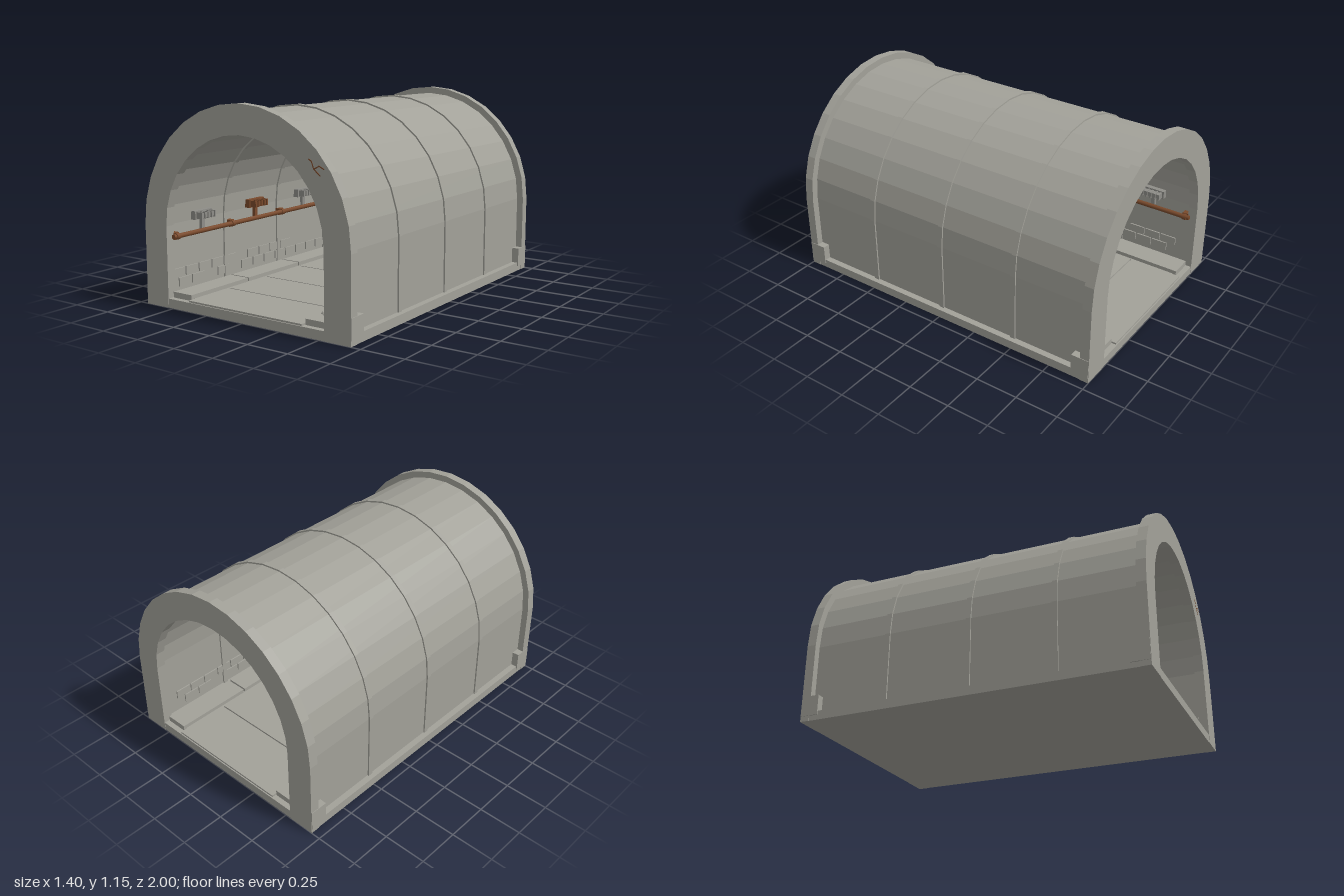
import * as THREE from 'three';

const SPRING = 0.46; // height where the straight walls become the arch
const SIDES = 16;

function createMaterials() {
  const make = (name, color) => {
    const m = new THREE.MeshStandardMaterial({ color });
    m.name = name;
    return m;
  };
  return {
    concrete: make('concrete', 0xa2a199),
    metal: make('lamp metal', 0x8e8d88),
    rust: make('rust', 0x7a4a2c),
  };
}

// Horseshoe outline between two radii, extruded along z
function archGeometry(outer, inner, yBase, z0, z1) {
  const pts = [new THREE.Vector2(outer, yBase)];
  const arc = (r, i) => {
    const a = (i / SIDES) * Math.PI;
    return new THREE.Vector2(Math.cos(a) * r, SPRING + Math.sin(a) * r);
  };
  for (let i = 0; i <= SIDES; i++) pts.push(arc(outer, i));
  pts.push(new THREE.Vector2(-outer, yBase), new THREE.Vector2(-inner, yBase));
  for (let i = SIDES; i >= 0; i--) pts.push(arc(inner, i));
  pts.push(new THREE.Vector2(inner, yBase));
  const g = new THREE.ExtrudeGeometry(new THREE.Shape(pts), { depth: z1 - z0, bevelEnabled: false });
  return g.translate(0, 0, z0);
}

function seeded(seed) {
  return () => (seed = (seed * 16807) % 2147483647) / 2147483647;
}

export function createModel() {
  const mat = createMaterials();
  const root = new THREE.Group();
  root.name = 'tunnelSection';
  const rand = seeded(41);

  const add = (name, geometry, material, parent = root) => {
    const mesh = new THREE.Mesh(geometry, material);
    mesh.name = name;
    parent.add(mesh);
    return mesh;
  };
  // Box given by its limits on each axis
  const box = (name, x0, x1, y0, y1, z0, z1, material = mat.concrete, parent = root) => {
    const mesh = add(name, new THREE.BoxGeometry(Math.abs(x1 - x0), y1 - y0, z1 - z0), material, parent);
    mesh.position.set((x0 + x1) / 2, (y0 + y1) / 2, (z0 + z1) / 2);
    return mesh;
  };
  const group = (name) => {
    const g = new THREE.Group();
    g.name = name;
    root.add(g);
    return g;
  };

  // Vault, end portals and ribs
  add('vault', archGeometry(0.655, 0.56, 0.03, -0.96, 0.96), mat.concrete);
  add('frontPortal', archGeometry(0.695, 0.533, 0, 0.945, 1), mat.concrete);
  add('backPortal', archGeometry(0.695, 0.533, 0, -1, -0.945), mat.concrete);
  for (const z of [-0.495, 0, 0.495]) {
    add('rib', archGeometry(0.664, 0.55, 0.03, z - 0.015, z + 0.015), mat.concrete);
  }

  // Base slab and floor panels with narrow joints
  box('baseSlab', -0.692, 0.692, 0, 0.052, -0.998, 0.998);
  const floor = group('floor');
  const panels = 6;
  for (let i = 0; i < panels; i++) {
    const z = -0.995 + (i * 1.99) / panels;
    box('floorPanel', -0.388, 0.388, 0.04, 0.062, z + 0.004, z + 1.99 / panels - 0.004, mat.concrete, floor);
  }

  // Walkways, wall bricks and corner footings on both sides
  for (const s of [-1, 1]) {
    const side = group(s > 0 ? 'leftSide' : 'rightSide');
    box('walkwayBed', s * 0.38, s * 0.56, 0.04, 0.062, -0.945, 0.945, mat.concrete, side);
    for (let i = 0; i < 4; i++) {
      const z = -0.97 + i * 0.485;
      box('walkwaySlab', s * 0.392, s * 0.527, 0.05, 0.085, z + 0.005, z + 0.48, mat.concrete, side);
    }
    for (let row = 0; row < 2; row++) {
      for (let i = 0; i < 17; i++) {
        const z = -0.92 + i * 0.107 + row * 0.05;
        if (rand() < 0.25) continue;
        const y = 0.095 + row * 0.056;
        box('wallBrick', s * 0.552, s * 0.561, y, y + 0.05, z, z + 0.098, mat.concrete, side);
      }
    }
    for (const e of [-1, 1]) {
      const z = e * 0.945;
      box('cornerFooting', s * 0.64, s * 0.698, 0.03, 0.145, z - 0.053, z + 0.053, mat.concrete, side);
    }
  }

  // Rusty pipe along the right wall with its clamps
  const pipework = group('pipework');
  const pipe = add('pipe', new THREE.CylinderGeometry(0.014, 0.014, 1.92, 8), mat.rust, pipework);
  pipe.rotation.x = Math.PI / 2;
  pipe.position.set(-0.521, 0.395, 0);
  for (const z of [-0.93, -0.47, 0, 0.47, 0.93]) {
    box('clampPlate', -0.562, -0.526, 0.375, 0.416, z - 0.018, z + 0.018, mat.rust, pipework);
    const ring = add('clampRing', new THREE.CylinderGeometry(0.019, 0.019, 0.024, 8), mat.rust, pipework);
    ring.rotation.x = Math.PI / 2;
    ring.position.set(-0.521, 0.395, z);
  }

  // Caged wall lamps above the pipe
  for (const z of [-0.71, -0.24, 0.24, 0.71]) {
    const lamp = group('wallLamp');
    const m = z === 0.24 ? mat.rust : mat.metal;
    box('lampBackplate', -0.562, -0.525, 0.462, 0.512, z - 0.07, z + 0.07, m, lamp);
    box('lampBody', -0.525, -0.493, 0.473, 0.501, z - 0.055, z + 0.055, m, lamp);
    for (let i = -2; i <= 2; i++) {
      const c = z + i * 0.027;
      box('cageBar', -0.526, -0.484, 0.468, 0.506, c - 0.005, c + 0.005, m, lamp);
    }
    box('lampConduit', -0.55, -0.53, 0.4, 0.465, z - 0.012, z + 0.012, m, lamp);
  }

  // Small heap of rubble on the left walkway
  const rubble = group('rubble');
  for (let i = 0; i < 16; i++) {
    const stone = add('stone', new THREE.IcosahedronGeometry(0.007 + rand() * 0.007, 0), mat.concrete, rubble);
    stone.position.set(0.415 + rand() * 0.1, 0.088, 0.78 + rand() * 0.12);
    stone.rotation.set(rand() * 3, rand() * 3, 0);
  }

  // Forked crack on the front portal
  const crack = group('crack');
  const strokes = [
    [0.445, 0.903, 0.462, 0.892], [0.462, 0.892, 0.476, 0.855], [0.476, 0.855, 0.514, 0.825],
    [0.476, 0.855, 0.508, 0.872], [0.508, 0.872, 0.537, 0.858],
  ];
  for (const [x0, y0, x1, y1] of strokes) {
    const length = Math.hypot(x1 - x0, y1 - y0);
    const piece = add('crackStroke', new THREE.BoxGeometry(length + 0.003, 0.006, 0.002), mat.rust, crack);
    piece.position.set((x0 + x1) / 2, (y0 + y1) / 2, 1);
    piece.rotation.z = Math.atan2(y1 - y0, x1 - x0);
  }

  return root;
}
